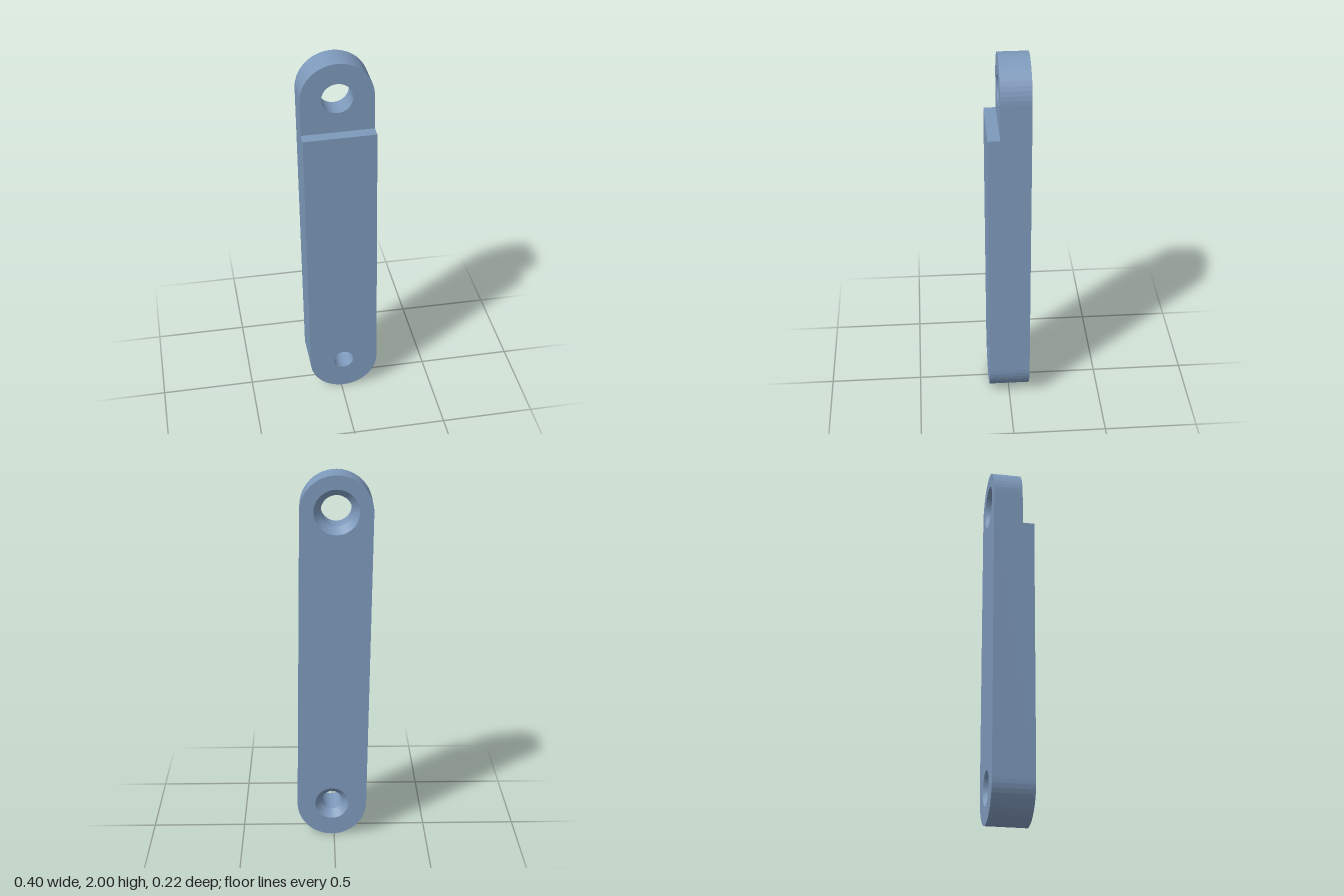
import * as THREE from 'three';

const R = 0.1875;             // end radius (half the width)
const L = 1.625;              // distance between hole centres
const STEP = L - R;           // height where the thin tab begins
const BACK = -0.11, TAB = 0.047, FRONT = 0.11;
const SINK = 0.04;            // countersink depth
const holes = [
  { name: 'lowerHole', y: 0, r: 0.054, wide: 0.09, front: FRONT },
  { name: 'upperHole', y: L, r: 0.08, wide: 0.116, front: TAB },
];

// Points along an arc, counter-clockwise when a1 > a0
function arc(cy, r, a0, a1, n) {
  return Array.from({ length: n + 1 }, (_, i) => {
    const a = a0 + ((a1 - a0) * i) / n;
    return new THREE.Vector2(Math.cos(a) * r, cy + Math.sin(a) * r);
  });
}
const circle = (y, r) => arc(y, r, Math.PI * 2, 0, 40);

// Faceted wall between two outlines at different depths
function wall(a, z0, b, z1) {
  const pos = [];
  for (let i = 0; i < a.length - 1; i++) {
    const p = [a[i].x, a[i].y, z0], q = [a[i + 1].x, a[i + 1].y, z0];
    const s = [b[i + 1].x, b[i + 1].y, z1], t = [b[i].x, b[i].y, z1];
    pos.push(...p, ...q, ...s, ...p, ...s, ...t);
  }
  const g = new THREE.BufferGeometry();
  g.setAttribute('position', new THREE.Float32BufferAttribute(pos, 3));
  g.computeVertexNormals();
  return g;
}

// Flat face with round holes
function face(outline, cuts, z, backwards = false) {
  const shape = new THREE.Shape(outline);
  for (const c of cuts) shape.holes.push(new THREE.Path(c.slice(0, -1)));
  const g = new THREE.ShapeGeometry(shape);
  if (backwards) {
    g.index.array.reverse();
    g.computeVertexNormals();
  }
  return g.translate(0, 0, z);
}

export function createModel() {
  const steel = new THREE.MeshStandardMaterial({ color: 0x7d99bb });
  steel.name = 'steelBlue';
  const model = new THREE.Group();
  model.name = 'linkArm';
  const add = (name, geometry) => {
    const mesh = new THREE.Mesh(geometry, steel);
    mesh.name = name;
    model.add(mesh);
  };

  const left = new THREE.Vector2(-R, STEP), right = new THREE.Vector2(R, STEP);
  const lower = [left, ...arc(0, R, Math.PI, Math.PI * 2, 24), right];
  const upper = [right, ...arc(L, R, 0, Math.PI, 24), left];

  // Thick arm and thin end tab
  add('armSide', wall(lower, BACK, lower, FRONT));
  add('tabSide', wall(upper, BACK, upper, TAB));
  add('armFront', face(lower, [circle(0, holes[0].r)], FRONT));
  add('tabFront', face(upper, [circle(L, holes[1].r)], TAB));
  add('backFace', face([...lower.slice(1, -1), ...upper.slice(1, -1)],
    holes.map((h) => circle(h.y, h.wide)), BACK, true));
  add('stepLedge', new THREE.PlaneGeometry(2 * R, FRONT - TAB)
    .rotateX(-Math.PI / 2).translate(0, STEP, (FRONT + TAB) / 2));

  // Bores, countersunk from the back
  for (const h of holes) {
    const bore = circle(h.y, h.r);
    add(h.name + 'Countersink', wall(circle(h.y, h.wide), BACK, bore, BACK + SINK));
    add(h.name + 'Bore', wall(bore, BACK + SINK, bore, h.front));
  }

  // Slight lean of the whole arm
  const lean = 0.0154;
  const arm = new THREE.Group();
  arm.name = 'arm';
  arm.add(...model.children.slice());
  arm.rotation.z = lean;
  arm.position.set((Math.sin(lean) * L) / 2, R, 0);
  model.add(arm);
  return model;
}
